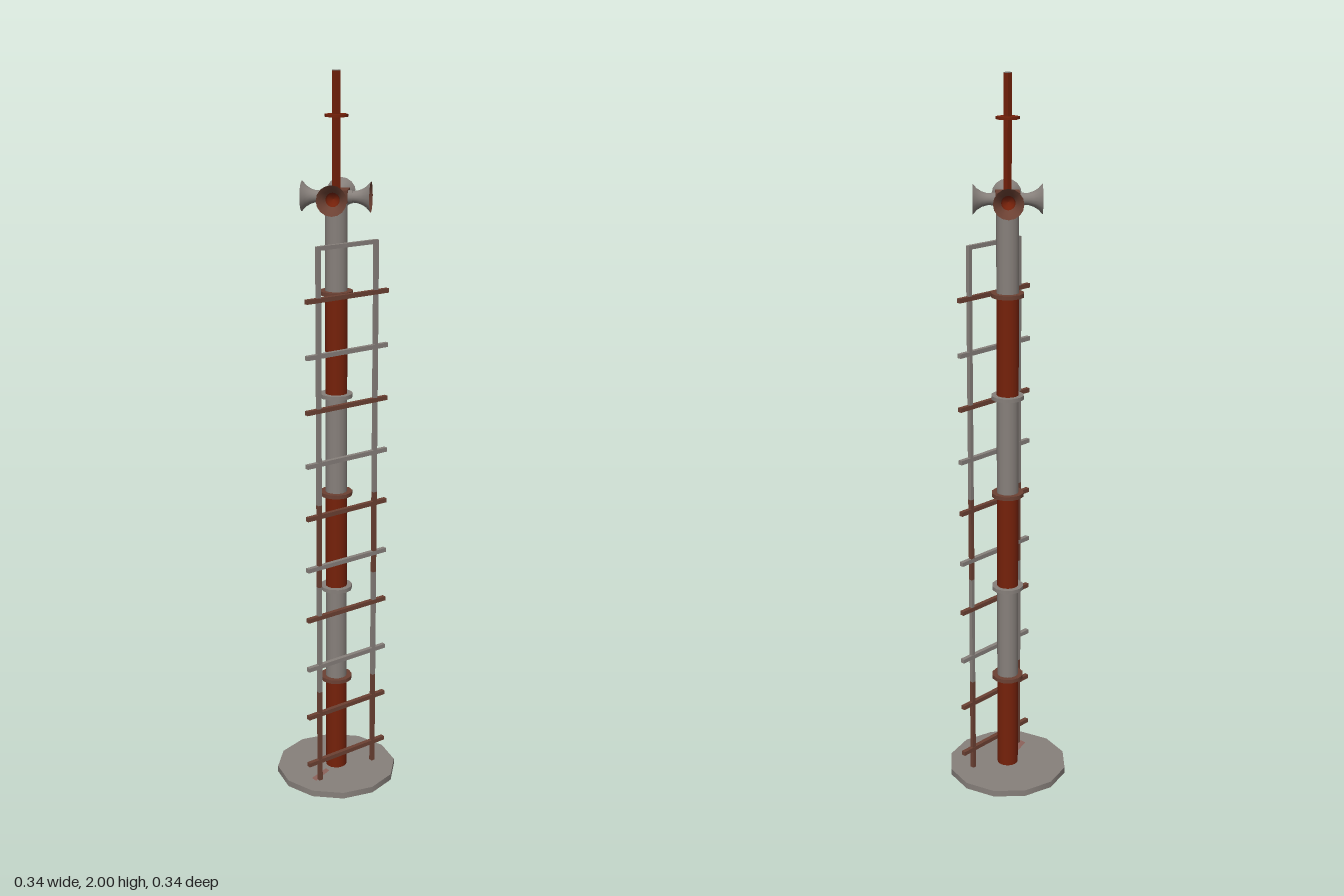
import * as THREE from 'three';

const mat = (name, color, double) => {
  const m = new THREE.MeshStandardMaterial({ color });
  m.name = name;
  if (double) m.side = THREE.DoubleSide;
  return m;
};

export function createModel() {
  const root = new THREE.Group();
  root.name = 'sirenTower';
  const grey = mat('weathered grey', 0x87807b);
  const red = mat('rust red', 0x75210a);
  const brown = mat('rusty brown', 0x6c4133);
  const stainMat = mat('rust stain', 0x8c625a, true);

  const add = (name, geometry, material, x = 0, y = 0, z = 0, parent = root) => {
    const mesh = new THREE.Mesh(geometry, material);
    mesh.name = name;
    mesh.position.set(x, y, z);
    parent.add(mesh);
    return mesh;
  };
  const cyl = (r, h, n) => new THREE.CylinderGeometry(r, r, h, n);

  // Twelve-sided footing with a rust patch beside the pole
  add('base', cyl(0.172, 0.018, 12), grey, 0, 0.011, 0);
  const patch = new THREE.Shape([[0.01, 0.045], [0.026, 0.045], [0.05, 0.11], [0.03, 0.11]]
    .map(([x, z]) => new THREE.Vector2(x, -z)));
  add('rustPatch', new THREE.ShapeGeometry(patch), stainMat, 0, 0.0208, 0).rotation.x = -Math.PI / 2;

  // Banded pole with a collar at each joint
  const joints = [0, 0.303, 0.583, 0.864, 1.145, 1.427, 1.692];
  for (let i = 0; i < 6; i++) {
    const h = joints[i + 1] - joints[i];
    add('poleBand', cyl(0.03, h, 16), i % 2 ? grey : red, 0, joints[i] + h / 2, 0);
    if (i) add('collar', cyl(0.045, 0.011, 12), i % 2 ? brown : grey, 0, joints[i], 0);
  }

  // Square horn bracket and the antenna
  add('hornBracket', cyl(0.045, 0.034, 4), brown, 0, 1.683, 0);
  add('antenna', new THREE.BoxGeometry(0.015, 0.298, 0.015), red, 0, 1.849, 0);
  add('antennaTip', new THREE.BoxGeometry(0.015, 0.002, 0.015), grey, 0, 1.999, 0);
  add('antennaDisc', cyl(0.031, 0.007, 8), red, 0, 1.887, 0);

  // Four flared horns pointing along the diagonals: rusty mouth, red core
  const profile = points => points.map(([r, y]) => new THREE.Vector2(r, y));
  const flare = profile([[0.015, 0.042], [0.016, 0.054], [0.02, 0.067], [0.028, 0.08], [0.04, 0.091]]);
  const mouth = profile([[0.04, 0.091], [0.027, 0.0805], [0.0185, 0.067]]);
  const core = profile([[0.0185, 0.067], [0.0145, 0.054], [0, 0.05]]);
  for (let i = 0; i < 4; i++) {
    const horn = new THREE.Group();
    horn.name = 'horn';
    add('hornBell', new THREE.LatheGeometry(flare, 16), grey, 0, 0, 0, horn);
    add('hornMouth', new THREE.LatheGeometry(mouth, 16), brown, 0, 0, 0, horn);
    add('hornCore', new THREE.LatheGeometry(core, 16), red, 0, 0, 0, horn);
    add('hornDriver', cyl(0.017, 0.014, 12), grey, 0, 0.036, 0, horn);
    horn.rotation.set(0, Math.PI / 4 + i * Math.PI / 2, -Math.PI / 2, 'YXZ');
    horn.position.y = 1.68;
    root.add(horn);
  }

  // Ladder on the left side: two rails painted in sections, rungs and a top bar
  const ladder = new THREE.Group();
  ladder.name = 'ladder';
  root.add(ladder);
  const railStops = [0.02, 0.3, 0.62, 0.86, 1.565];
  for (const z of [-0.095, 0.095]) {
    for (let i = 0; i < 4; i++) {
      const h = railStops[i + 1] - railStops[i];
      add('rail', new THREE.BoxGeometry(0.011, h, 0.011), i % 2 ? grey : brown,
        0.049, railStops[i] + h / 2, z, ladder);
    }
  }
  for (let i = 0; i < 10; i++) {
    add('rung', new THREE.BoxGeometry(0.012, 0.012, 0.27), i % 2 || i === 0 ? brown : grey,
      0.049, 0.081 + i * 0.1493, 0, ladder);
  }
  add('topBar', new THREE.BoxGeometry(0.0105, 0.011, 0.19), grey, 0.049, 1.56, 0, ladder);

  return root;
}
